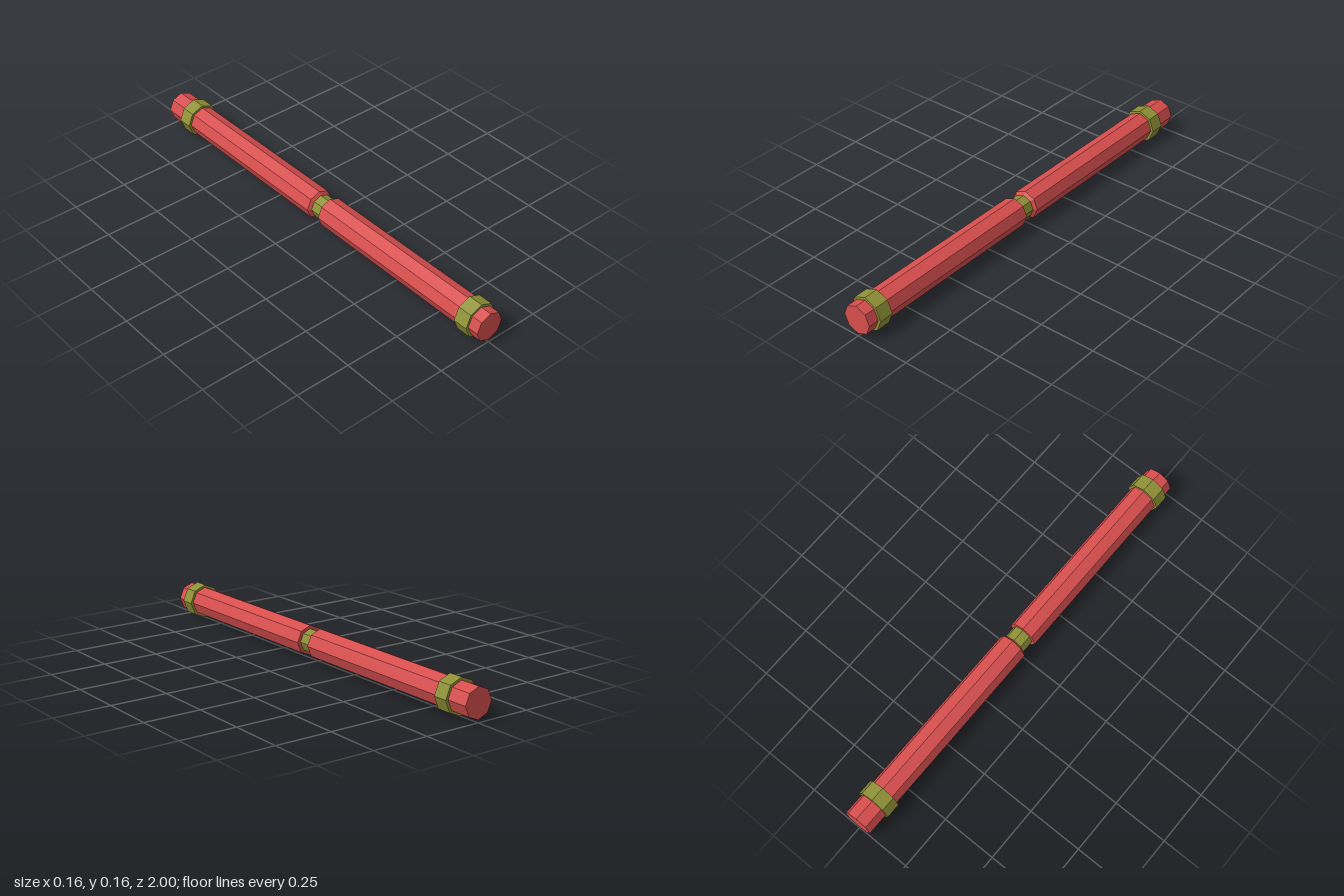
import * as THREE from 'three';

const AXIS_Y = 0.078;

export function createModel() {
  const red = new THREE.MeshStandardMaterial({ color: 0xd84e4e, flatShading: true });
  const olive = new THREE.MeshStandardMaterial({ color: 0x8f9136, flatShading: true });
  const group = new THREE.Group();
  group.name = 'staff';

  // Eight-sided section along z, from z0 (back) to z1 (front)
  function section(name, material, z0, z1, backRadius, frontRadius = backRadius, open = false) {
    const geometry = new THREE.CylinderGeometry(frontRadius, backRadius, z1 - z0, 8, 1, open);
    geometry.rotateX(Math.PI / 2);
    const mesh = new THREE.Mesh(geometry, material);
    mesh.name = name;
    mesh.position.set(0, AXIS_Y, (z0 + z1) / 2);
    group.add(mesh);
  }

  // Two halves of the shaft
  section('frontShaft', red, 0.057, 1, 0.066);
  section('backShaft', red, -1, -0.012, 0.066);

  // Narrow neck joining them, with a short bevel on the back half
  section('neck', olive, -0.012, 0.057, 0.051);
  section('neckBevel', red, -0.012, -0.002, 0.066, 0.051, true);

  // Bands near the ends
  section('frontBand', olive, 0.885, 0.951, 0.078);
  section('backBand', olive, -0.903, -0.837, 0.078);

  return group;
}
